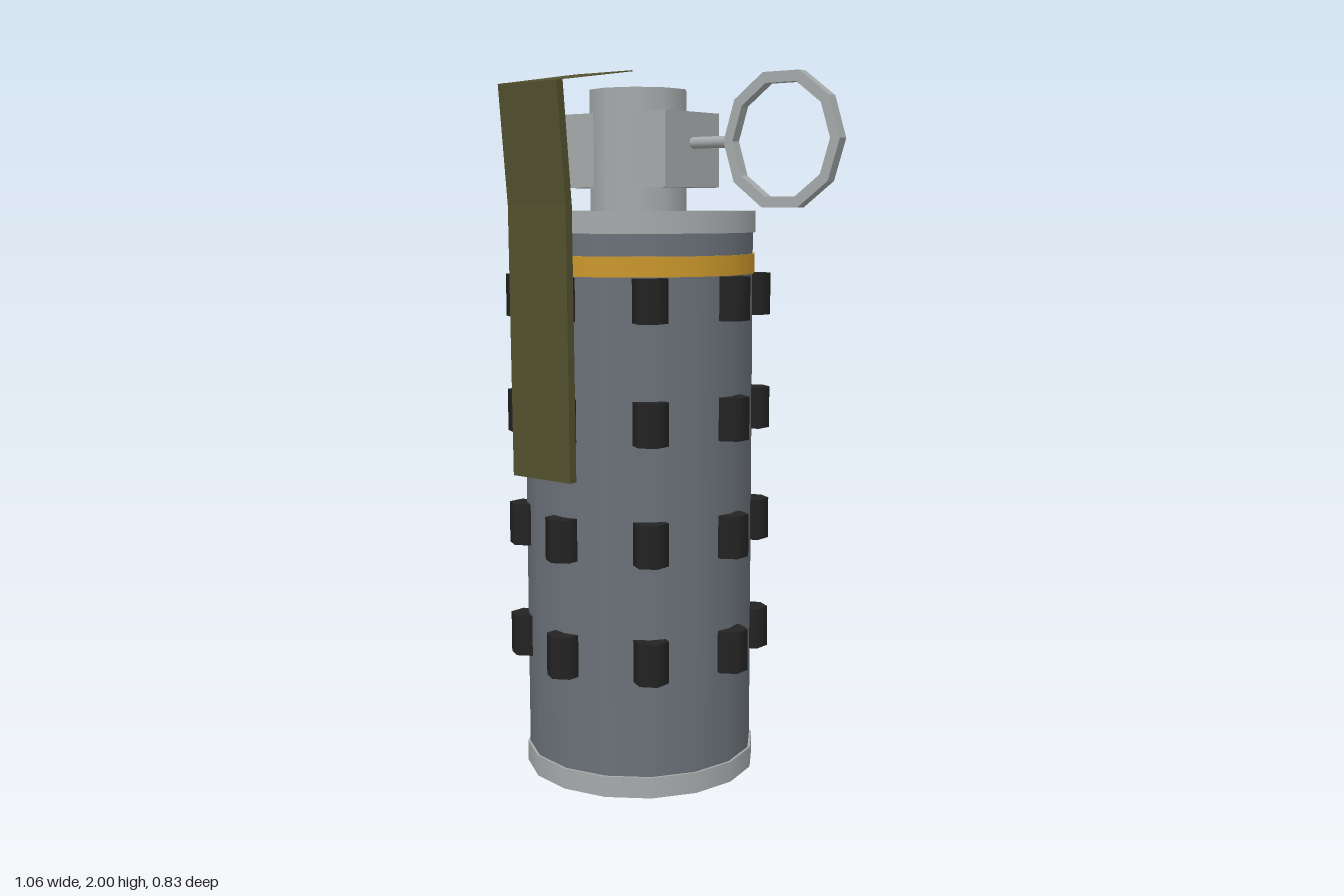
import * as THREE from 'three';

export function createModel() {
  const group = new THREE.Group();
  group.name = 'canister';
  const makeMat = (name, color, side = THREE.FrontSide) => {
    const m = new THREE.MeshStandardMaterial({ color, side });
    m.name = name;
    return m;
  };
  const steel = makeMat('body grey', 0x6a7178);
  const metal = makeMat('light metal', 0xa6aaaa);
  const gold = makeMat('gold band', 0xcb982c);
  const rubber = makeMat('black stud', 0x232323);
  const olive = makeMat('olive lever', 0x53512f, THREE.DoubleSide);

  // Axis of the canister
  const CX = -0.155, CZ = -0.035;

  const add = (name, geometry, material, x, y, z, parent = group) => {
    const mesh = new THREE.Mesh(geometry, material);
    mesh.name = name;
    mesh.position.set(x, y, z);
    parent.add(mesh);
    return mesh;
  };
  const drum = (name, r, y0, y1, sides, material) =>
    add(name, new THREE.CylinderGeometry(r, r, y1 - y0, sides), material, CX, (y0 + y1) / 2, CZ);

  // Body, rims, band and neck
  drum('body', 0.33, 0.03, 1.6, 16, steel);
  drum('bottomRim', 0.337, 0, 0.06, 16, metal);
  drum('topRim', 0.337, 1.565, 1.625, 16, metal);
  drum('colourBand', 0.335, 1.45, 1.505, 16, gold);
  drum('neck', 0.141, 1.62, 1.96, 10, metal);
  add('fuzeBlock', new THREE.BoxGeometry(0.39, 0.205, 0.24), metal, CX, 1.792, CZ);

  // Four rows of eight hexagonal studs
  const studs = new THREE.Group();
  studs.name = 'gripStuds';
  group.add(studs);
  const studGeometry = new THREE.CylinderGeometry(0.05, 0.05, 0.12, 6);
  for (let row = 0; row < 4; row++) {
    for (let i = 0; i < 8; i++) {
      const a = (i * Math.PI) / 4;
      add('stud', studGeometry, rubber,
        CX + 0.332 * Math.sin(a), 0.395 + row * 0.331, CZ + 0.332 * Math.cos(a), studs);
    }
  }

  // Pull pin and ten-sided ring
  const pin = add('pin', new THREE.CylinderGeometry(0.016, 0.016, 0.16, 8), metal, 0.1, 1.81, CZ);
  pin.rotation.z = Math.PI / 2;
  const decagon = (r) => Array.from({ length: 10 }, (_, i) =>
    new THREE.Vector2(r * Math.cos((i * Math.PI) / 5), r * Math.sin((i * Math.PI) / 5)));
  const ringShape = new THREE.Shape(decagon(0.185));
  ringShape.holes.push(new THREE.Path(decagon(0.155)));
  const ringGeometry = new THREE.ExtrudeGeometry(ringShape, { depth: 0.03, bevelEnabled: false });
  add('pullRing', ringGeometry, metal, 0.341, 1.81, CZ - 0.015);

  // Safety lever: side profile in (z, y), swept across x, with a thin top flap
  const profile = [
    [0.416, 1.955], [0.386, 1.64], [0.38, 0.905], [0.355, 0.905], [0.362, 1.64], [0.392, 1.959],
    [0.115, 2.0], [0.115, 1.997], [0.392, 1.956],
  ];
  const sweep = (points) => {
    const shape = new THREE.Shape(points.map(([z, y]) => new THREE.Vector2(z, y)));
    const g = new THREE.ExtrudeGeometry(shape, { depth: 0.21, bevelEnabled: false });
    return g.rotateY(-Math.PI / 2);
  };
  add('leverArm', sweep(profile.slice(0, 6)), olive, -0.05, 0, 0);
  add('leverFlap', sweep([[0.416, 1.955], ...profile.slice(6, 8)]), olive, -0.05, 0, 0);

  return group;
}
